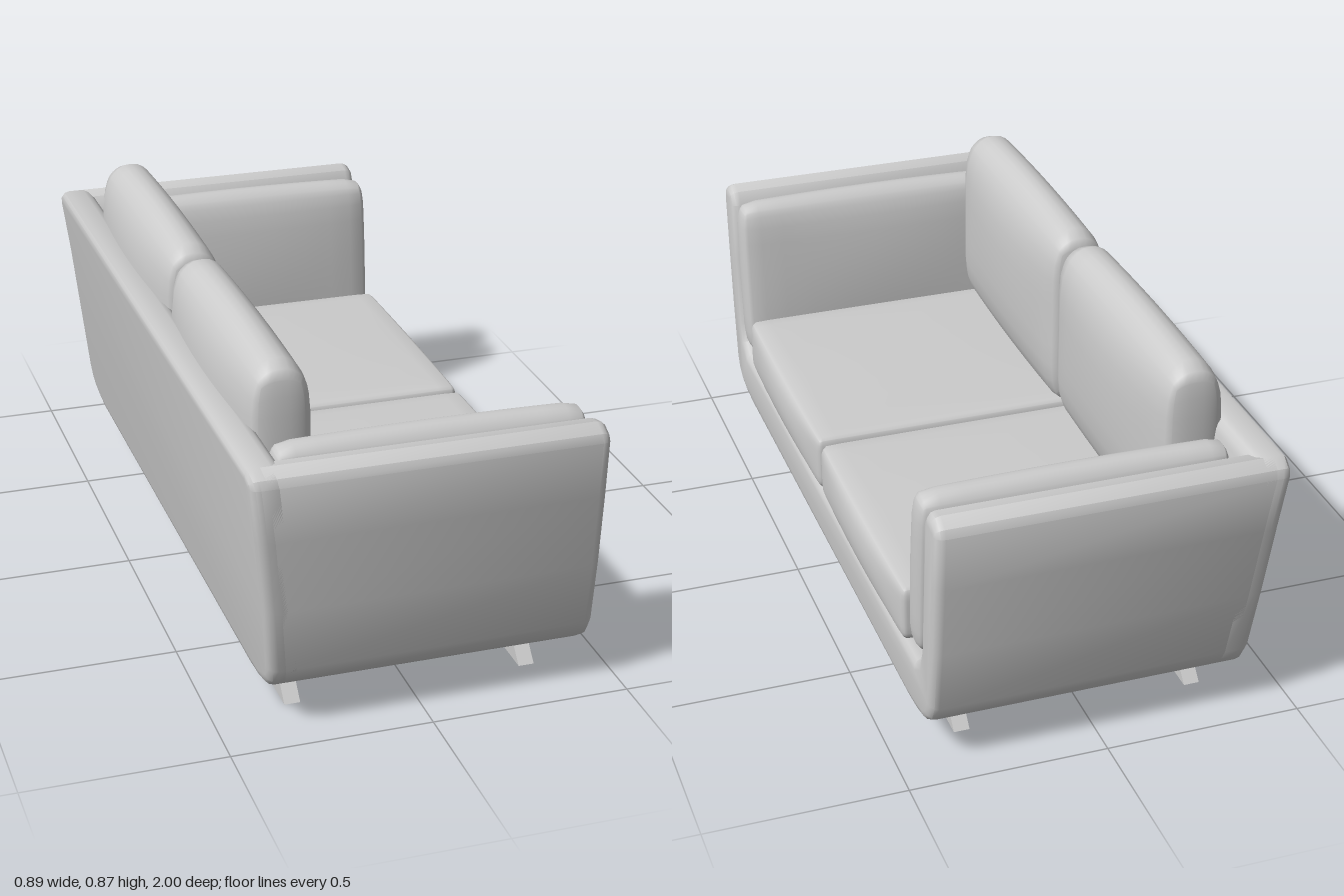
import * as THREE from 'three';
import { mergeVertices, toCreasedNormals } from 'three/addons/utils/BufferGeometryUtils.js';

const material = new THREE.MeshStandardMaterial({ color: 0xcccccc, side: THREE.DoubleSide });

function addMesh(parent, name, geometry) {
  const mesh = new THREE.Mesh(geometry, material);
  mesh.name = name;
  parent.add(mesh);
  return mesh;
}

// Closed outline from half of it, mirrored across the middle of the sofa
function mirroredShape(half) {
  const other = half.map(([a, y]) => [-a, y]).reverse();
  return new THREE.Shape([...half, ...other].map(([a, y]) => new THREE.Vector2(a, y)));
}

// Extrude a (z, y) outline along x, from x0 to x1
function extrudeAlongX(shape, x0, x1, bevel) {
  const geo = new THREE.ExtrudeGeometry(shape, {
    depth: x1 - x0 - 2 * bevel, bevelEnabled: bevel > 0,
    bevelSize: bevel, bevelThickness: bevel, bevelOffset: -bevel, bevelSegments: 3,
  });
  geo.translate(0, 0, x0 + bevel);
  geo.rotateY(Math.PI / 2);
  return geo;
}

// Lean the rear of the shell: the upper part sits further back
function leanBack(geo) {
  const p = geo.attributes.position;
  for (let i = 0; i < p.count; i++) {
    const x = p.getX(i);
    const h = THREE.MathUtils.clamp((0.71 - p.getY(i)) / 0.6, 0, 1);
    const t = Math.min(1, (0.43 - x) / 0.8);
    p.setX(i, x + t * 0.068 * Math.pow(h, 0.8));
  }
  return toCreasedNormals(geo, 0.6);
}

// Soft cushion: a box with elliptical edges (radii) and swollen faces (bulge), per axis
function cushionGeometry(size, radii, bulge) {
  let geo = new THREE.BoxGeometry(2, 2, 2, 12, 12, 12);
  geo.deleteAttribute('uv');
  geo.deleteAttribute('normal');
  geo = mergeVertices(geo);
  const p = geo.attributes.position;
  for (let i = 0; i < p.count; i++) {
    const unit = [p.getX(i), p.getY(i), p.getZ(i)].map((v) => Math.sin((v * Math.PI) / 2));
    const half = size.map((s) => s / 2);
    const inner = unit.map((u, k) => THREE.MathUtils.clamp(u * half[k], radii[k] - half[k], half[k] - radii[k]));
    const dir = new THREE.Vector3(...unit.map((u, k) => (u * half[k] - inner[k]) / radii[k])).normalize();
    const pos = dir.toArray().map((d, k) => inner[k] + d * radii[k]);
    const q = pos.map((v, k) => 1 - (v / half[k]) ** 2);
    const out = pos.map((v, k) => v * (1 + (bulge[k] / half[k]) * q[(k + 1) % 3] * q[(k + 2) % 3]));
    p.setXYZ(i, ...out);
  }
  geo.computeVertexNormals();
  return geo;
}

export function createModel() {
  const sofa = new THREE.Group();
  sofa.name = 'sofa';

  // Shell: U-shaped arms and base, closed by a leaning back
  const outer = [
    [0.76, 0.085], [0.83, 0.09], [0.885, 0.102], [0.922, 0.128], [0.943, 0.17],
    [0.968, 0.34], [0.988, 0.53], [1, 0.675], [0.99, 0.695], [0.955, 0.712],
  ];
  const inner = [[0.915, 0.703], [0.893, 0.67], [0.882, 0.5], [0.866, 0.3], [0.848, 0.255], [0.81, 0.23]];
  const shell = new THREE.Group();
  shell.name = 'shell';
  sofa.add(shell);
  addMesh(shell, 'armsAndBase', leanBack(extrudeAlongX(mirroredShape([...outer, ...inner]), -0.435, 0.428, 0.025)));
  addMesh(shell, 'backPanel', leanBack(extrudeAlongX(mirroredShape(outer), -0.452, -0.36, 0.025)));

  // Cushions, mirrored on both halves
  const seat = cushionGeometry([0.79, 0.155, 0.725], [0.02, 0.03, 0.02], [0.015, 0.006, 0.003]);
  const back = cushionGeometry([0.155, 0.505, 0.75], [0.07, 0.12, 0.025], [0.02, 0.015, 0.003]);
  const arm = cushionGeometry([0.775, 0.45, 0.095], [0.03, 0.06, 0.042], [0.005, 0.008, 0.02]);
  for (const [side, s] of [['left', -1], ['right', 1]]) {
    addMesh(sofa, side + 'SeatCushion', seat).position.set(0.035, 0.305, s * 0.372);
    addMesh(sofa, side + 'BackCushion', back).position.set(-0.298, 0.607, s * 0.385);
    const armCushion = addMesh(sofa, side + 'ArmCushion', arm);
    armCushion.position.set(0.038, 0.478, s * 0.815);
    armCushion.rotation.x = s * 0.085;
  }

  // Sled legs: a long floor bar with splayed ends
  const sled = mirroredShape([[0.82, 0], [0.725, 0.1], [0.685, 0.1], [0.75, 0.022]]);
  for (const [name, x] of [['rearLeg', -0.295], ['frontLeg', 0.31]]) {
    addMesh(sofa, name, extrudeAlongX(sled, x - 0.02, x + 0.02, 0));
  }
  return sofa;
}
